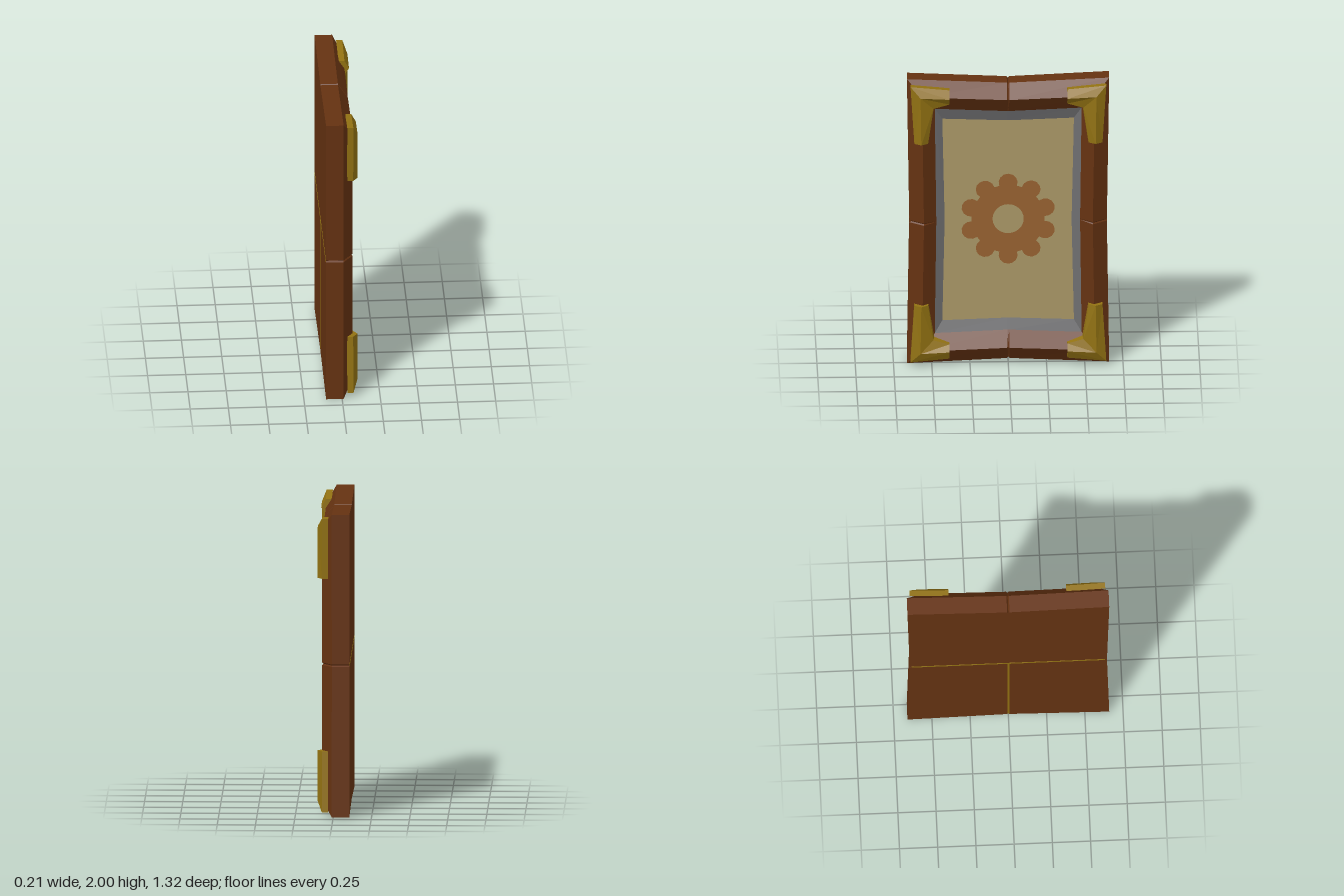
import * as THREE from 'three';

const mat = (name, color) => {
  const m = new THREE.MeshStandardMaterial({ color });
  m.name = name;
  return m;
};

// Flat-shaded mesh from a plain list of triangle corners
function meshFrom(name, points, material) {
  const geo = new THREE.BufferGeometry().setFromPoints(points);
  geo.computeVertexNormals();
  const mesh = new THREE.Mesh(geo, material);
  mesh.name = name;
  return mesh;
}

// Closed outline around y = 1: corners (zc, yc), pinched middles (zm, ym).
// Each middle carries a small joint notch of depth n, cut `drop` into the face.
function ring(x, zc, zm, yc, ym, n = 0, drop = 0) {
  const g = 0.008;
  const quarter = [
    [-zm, g, 0], [-zc, yc, 0], [-g, ym, 0], [0, ym - n, drop],
    [g, ym, 0], [zc, yc, 0], [zm, g, 0], [zm - n, 0, drop],
  ];
  const lower = [
    [zm, -g, 0], [zc, -yc, 0], [g, -ym, 0], [0, -ym + n, drop],
    [-g, -ym, 0], [-zc, -yc, 0], [-zm, -g, 0], [-zm + n, 0, drop],
  ];
  return [...quarter, ...lower].map(([z, y, d]) => new THREE.Vector3(x - d, 1 + y, z));
}

// Band of quads between two outlines
function band(a, b, closed = true) {
  const out = [];
  for (let i = 0; i < a.length - (closed ? 0 : 1); i++) {
    const j = (i + 1) % a.length;
    out.push(a[i], a[j], b[j], a[i], b[j], b[i]);
  }
  return out;
}

// Fan that fills an outline
function cap(loop, centre, reverse = false) {
  const out = [];
  loop.forEach((p, i) => {
    const q = loop[(i + 1) % loop.length];
    out.push(centre, ...(reverse ? [q, p] : [p, q]));
  });
  return out;
}

// Metal corner bracket: ridged profile along three stations of an L
function bracket(name, sy, sz, material) {
  const profile = [
    [0.035, [[0.615, 0.57], [0.64, 0.97], [0.385, 0.945]]],
    [0.075, [[0.615, 0.57], [0.64, 0.97], [0.385, 0.945]]],
    [0.105, [[0.57, 0.57], [0.575, 0.9], [0.385, 0.89]]],
    [0.075, [[0.525, 0.57], [0.49, 0.815], [0.385, 0.845]]],
    [0.02, [[0.52, 0.57], [0.485, 0.81], [0.385, 0.84]]],
  ];
  const rows = profile.map(([x, pts]) =>
    pts.map(([w, h]) => new THREE.Vector3(x, 1 + sy * h, sz * w)));
  const tris = [];
  for (let k = 0; k < rows.length - 1; k++) tris.push(...band(rows[k], rows[k + 1], false));
  const end = (i) => rows.map((r) => r[i]);
  for (const [i, rev] of [[0, false], [2, true]]) {
    const loop = end(i);
    const centre = loop[0].clone().add(loop[4]).multiplyScalar(0.5);
    tris.push(...cap(loop, centre, rev));
  }
  if (sy * sz > 0) tris.reverse();
  return meshFrom(name, tris, material);
}

// Ring-shaped emblem with ten round lobes
function emblem(material) {
  const shape = new THREE.Shape();
  const pts = [];
  for (let t = 0; t < 10; t++) {
    const a = Math.PI / 2 + (t * Math.PI) / 5;
    for (let k = -4; k <= 4; k++) {
      const b = a + (k / 4) * 1.95;
      pts.push(new THREE.Vector2(
        0.255 * Math.cos(a) + 0.062 * Math.cos(b),
        0.255 * Math.sin(a) + 0.062 * Math.sin(b)));
    }
  }
  shape.setFromPoints(pts);
  shape.holes.push(new THREE.Path().absarc(0, 0, 0.102, 0, Math.PI * 2, true));
  const mesh = new THREE.Mesh(new THREE.ShapeGeometry(shape, 12).rotateY(Math.PI / 2), material);
  mesh.position.set(-0.011, 1.003, 0);
  mesh.name = 'emblem';
  return mesh;
}

export function createModel() {
  const wood = mat('brown wood', 0x653211);
  const gold = mat('old gold', 0x927212);
  const grey = mat('grey mount', 0x6e6e70);
  const paper = mat('tan paper', 0xaa9767);
  const rust = mat('rust brown', 0x976231);

  const model = new THREE.Group();
  model.name = 'framedPanel';

  // Outlines from the back edge, over the ridge and into the opening
  const back = ring(-0.105, 0.66, 0.645, 1.0, 0.97, 0.012);
  const shoulder = ring(0.01, 0.66, 0.645, 1.0, 0.97, 0.012);
  const ridge = ring(0.075, 0.565, 0.552, 0.895, 0.873, 0, 0.008);
  const inner = ring(0.01, 0.48, 0.47, 0.79, 0.77);
  const sheet = ring(-0.015, 0.43, 0.415, 0.71, 0.695);

  // Wooden frame with its back board
  model.add(meshFrom('frame', [
    ...band(back, shoulder), ...band(shoulder, ridge), ...band(ridge, inner),
    ...cap(back, new THREE.Vector3(-0.105, 1, 0), true),
  ], wood));

  // Sloped mount, picture sheet and emblem
  model.add(meshFrom('mount', band(inner, sheet), grey));
  model.add(meshFrom('sheet', cap(sheet, new THREE.Vector3(-0.015, 1, 0)), paper));
  model.add(emblem(rust));

  // Corner brackets
  for (const sy of [1, -1]) {
    for (const sz of [1, -1]) {
      const name = (sy > 0 ? 'upper' : 'lower') + (sz > 0 ? 'Front' : 'Back') + 'Bracket';
      model.add(bracket(name, sy, sz, gold));
    }
  }

  // Thin seams on the back board
  const seam = (name, h, d, y) => {
    const mesh = new THREE.Mesh(new THREE.BoxGeometry(0.003, h, d), gold);
    mesh.position.set(-0.105, y, 0);
    mesh.name = name;
    model.add(mesh);
  };
  seam('crossSeam', 0.016, 1.264, 1);
  seam('lowerSeam', 0.95, 0.014, 0.517);

  return model;
}
